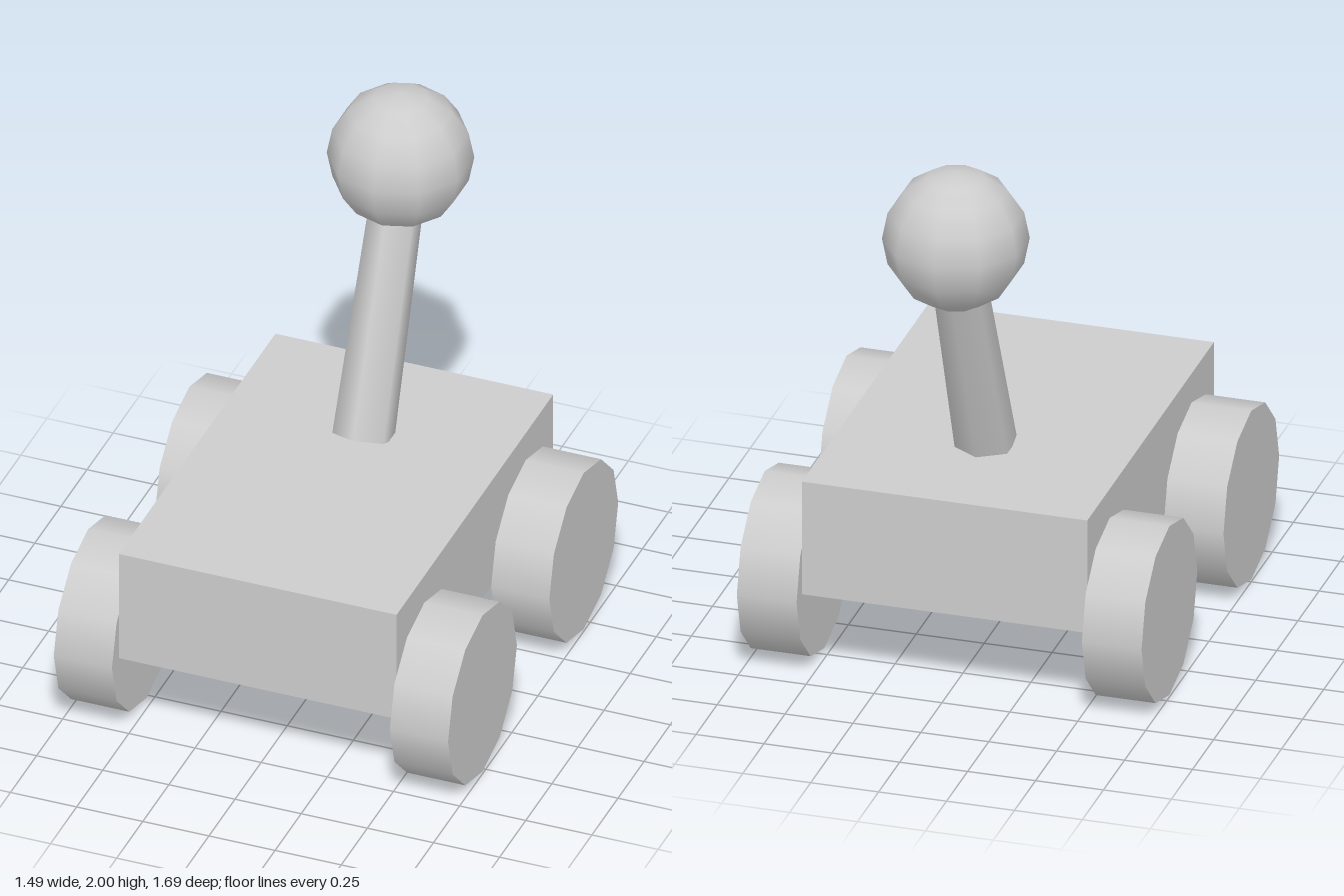
import * as THREE from 'three';

export function createModel() {
  const model = new THREE.Group();
  model.name = 'leverCart';
  const grey = new THREE.MeshStandardMaterial({ color: 0xcccccc });
  grey.name = 'plain grey';

  const add = (name, geometry, x, y, z) => {
    const mesh = new THREE.Mesh(geometry, grey);
    mesh.name = name;
    mesh.position.set(x, y, z);
    model.add(mesh);
    return mesh;
  };

  // Box body
  add('body', new THREE.BoxGeometry(1.05, 0.44, 1.5), 0, 0.553, 0.033);

  // Four twelve-sided wheels against the body sides
  const wheel = new THREE.CylinderGeometry(0.33, 0.33, 0.22, 12).rotateZ(Math.PI / 2);
  for (const [end, z] of [['front', 0.518], ['back', -0.452]]) {
    for (const [side, s] of [['Left', 1], ['Right', -1]]) {
      add(`${end}${side}Wheel`, wheel, s * 0.635, 0.33, z);
    }
  }

  // Six-sided tapered lever, leaning backwards from its foot
  const length = 0.92;
  const stick = new THREE.CylinderGeometry(0.096, 0.112, length, 6).translate(0, length / 2, 0);
  add('leverStick', stick, 0, 0.773, -0.229).rotation.x = THREE.MathUtils.degToRad(-22);

  // Ball knob with a corner facing the front
  const knob = new THREE.SphereGeometry(0.26, 10, 8).rotateY(Math.PI / 2);
  add('leverKnob', knob, 0, 1.74, -0.585);

  return model;
}
